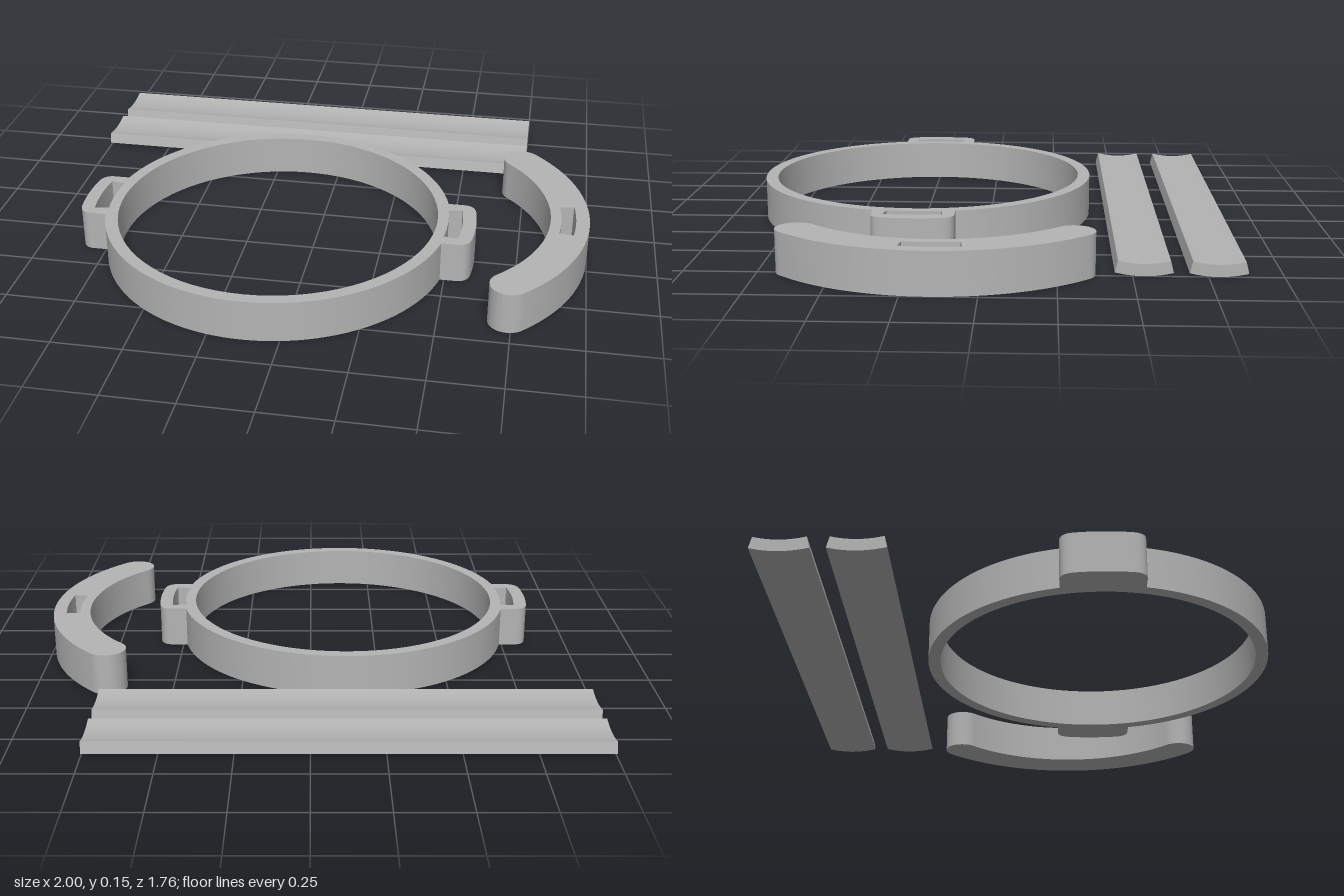
import * as THREE from 'three';
import { toCreasedNormals } from 'three/addons/utils/BufferGeometryUtils.js';

const HEIGHT = 0.15, FLOOR = 0.03;
const R_IN = 0.585, R_RING = 0.63, R_OUT = 0.725;
const SLOT_IN = 0.624, SLOT_OUT = 0.676, SLOT_ANGLE = 0.154;

function extrude(shape, depth, segments = 40) {
  const geo = new THREE.ExtrudeGeometry(shape, { depth, bevelEnabled: false, curveSegments: segments });
  return toCreasedNormals(geo, 0.5);
}

// Curved slot around the given direction
function slotPath(dir) {
  const p = new THREE.Path();
  p.absarc(0, 0, SLOT_OUT, dir - SLOT_ANGLE, dir + SLOT_ANGLE, false);
  p.absarc(0, 0, SLOT_IN, dir + SLOT_ANGLE, dir - SLOT_ANGLE, true);
  p.closePath();
  return p;
}

// Upright plate with blind slots: a solid floor below a slotted body
function slottedPart(name, makeShape, slotDirs, material) {
  const group = new THREE.Group();
  group.name = name;
  const floor = new THREE.Mesh(extrude(makeShape(), FLOOR).rotateX(-Math.PI / 2), material);
  floor.name = name + 'Floor';
  const shape = makeShape();
  slotDirs.forEach((d) => shape.holes.push(slotPath(d)));
  const body = new THREE.Mesh(extrude(shape, HEIGHT - FLOOR).rotateX(-Math.PI / 2), material);
  body.name = name + 'Body';
  body.position.y = FLOOR;
  group.add(floor, body);
  return group;
}

// Ring outline with a rounded lug on either side
function ringShape() {
  const s = new THREE.Shape();
  const half = 0.145, a = Math.asin(half / R_RING), end = 0.095, b = Math.asin(end / R_OUT);
  const xe = R_OUT * Math.cos(b);
  for (const m of [1, -1]) {
    const base = m > 0 ? 0 : Math.PI;
    s.absarc(0, 0, R_OUT, base - b, base + b, false);
    s.quadraticCurveTo(m * 0.712, m * half, m * 0.67, m * half);
    s.absarc(0, 0, R_RING, base + a, base + Math.PI - a, false);
    s.lineTo(-m * 0.67, m * half);
    s.quadraticCurveTo(-m * 0.712, m * half, -m * xe, m * end);
  }
  const hole = new THREE.Path();
  hole.absarc(0, 0, R_IN, 0, Math.PI * 2, true);
  s.holes.push(hole);
  return s;
}

// Quarter arc with round ends
function crescentShape() {
  const s = new THREE.Shape();
  const a = Math.PI / 4, mid = (R_IN + R_OUT) / 2, cap = (R_OUT - R_IN) / 2;
  const c = mid * Math.SQRT1_2;
  s.absarc(0, 0, R_OUT, -a, a, false);
  s.absarc(c, c, cap, a, a + Math.PI, false);
  s.absarc(0, 0, R_IN, a, -a, true);
  s.absarc(c, -c, cap, Math.PI - a, 2 * Math.PI - a, false);
  return s;
}

// Shallow curved strap section, hollow side up
function strapShape() {
  const s = new THREE.Shape();
  const r = 0.4, t = 0.042, a = 0.246, down = -Math.PI / 2;
  s.absarc(0, r, r, down - a, down + a, false);
  s.absarc(0, r, r - t, down + a, down - a, true);
  s.closePath();
  return s;
}

export function createModel() {
  const model = new THREE.Group();
  model.name = 'strapRingKit';
  const grey = new THREE.MeshStandardMaterial({ color: 0xb4b4b4 });
  grey.name = 'plainGrey';

  const ring = slottedPart('ring', ringShape, [0, Math.PI], grey);
  ring.position.set(-0.128, 0, 0.248);
  model.add(ring);

  const crescent = slottedPart('crescent', crescentShape, [0], grey);
  crescent.position.set(0.275, 0, 0.155);
  model.add(crescent);

  // Two long straps lying along x
  const strapGeo = extrude(strapShape(), 1.75, 16).rotateY(Math.PI / 2);
  [-0.785, -0.538].forEach((z, i) => {
    const strap = new THREE.Mesh(strapGeo, grey);
    strap.name = i ? 'frontStrap' : 'backStrap';
    strap.position.set(-1, 0, z);
    model.add(strap);
  });
  return model;
}
